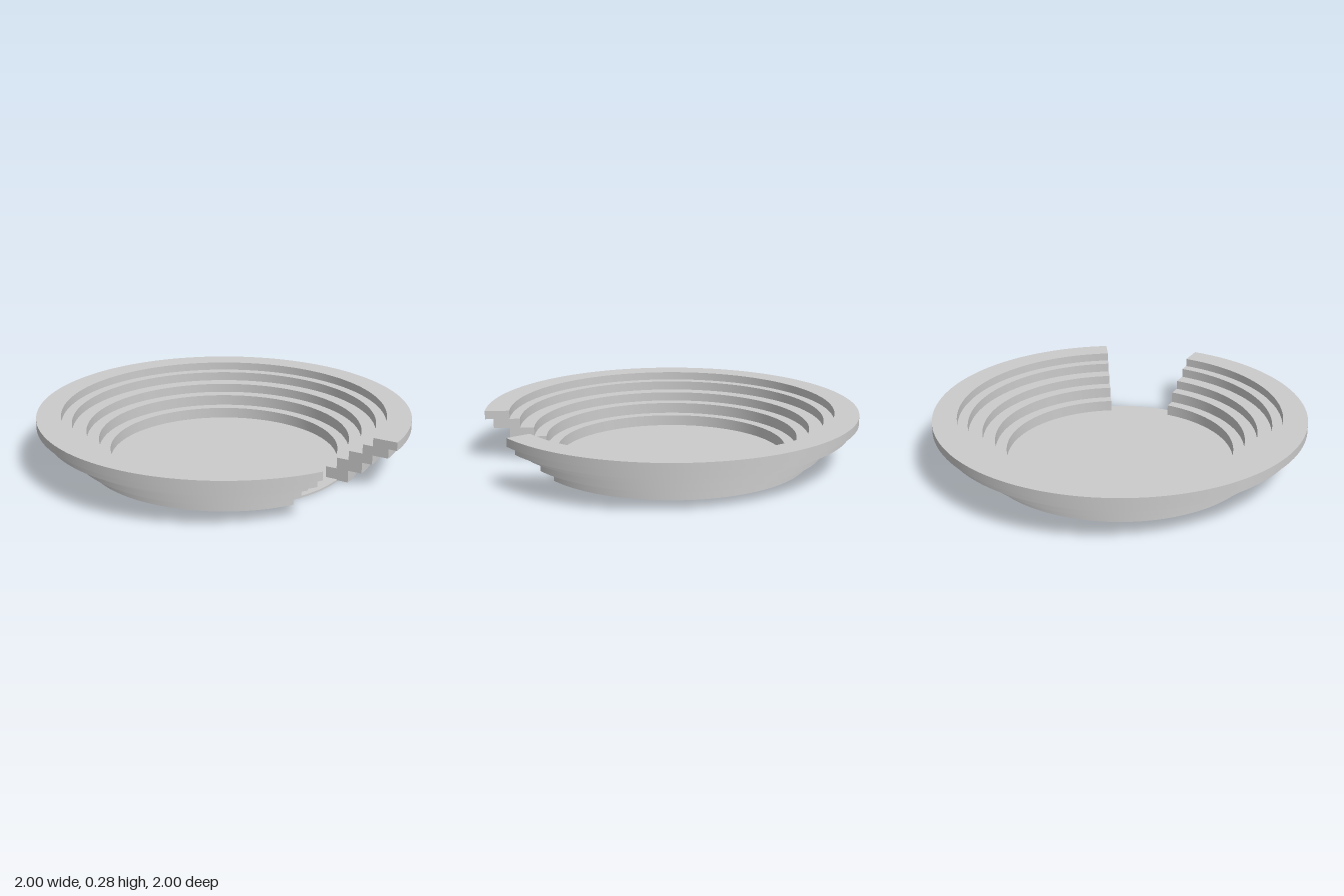
import * as THREE from 'three';
import { toCreasedNormals } from 'three/addons/utils/BufferGeometryUtils.js';

const material = new THREE.MeshStandardMaterial({ color: 0xcccccc });

// The entrance gap, measured from +x towards +z
const GAP_START = THREE.MathUtils.degToRad(43.3);
const GAP_END = THREE.MathUtils.degToRad(75.3);

// Ring with the entrance cut out, between two heights
function tierGeometry(inner, outer, bottom, top) {
  const shape = new THREE.Shape();
  const end = GAP_START + Math.PI * 2;
  shape.absarc(0, 0, outer, GAP_END, end, false);
  shape.absarc(0, 0, inner, end, GAP_END, true);
  const geometry = new THREE.ExtrudeGeometry(shape, {
    depth: top - bottom, bevelEnabled: false, curveSegments: 64,
  });
  geometry.rotateX(Math.PI / 2); // extrusion now runs downwards
  geometry.translate(0, top, 0);
  return toCreasedNormals(geometry, 0.5);
}

export function createModel() {
  const group = new THREE.Group();
  group.name = 'steppedArena';

  // Flat round floor
  const floor = new THREE.Mesh(new THREE.CylinderGeometry(0.68, 0.68, 0.01, 96), material);
  floor.position.y = 0.005;
  floor.name = 'floor';
  group.add(floor);

  // Stepped tiers, lowest first: inner radius, outer radius, bottom, top
  const tiers = [
    [0.615, 0.74, 0.005, 0.07],
    [0.675, 0.815, 0.07, 0.13],
    [0.74, 0.87, 0.13, 0.18],
    [0.815, 0.955, 0.18, 0.23],
    [0.87, 1.0, 0.23, 0.275],
  ];
  tiers.forEach((tier, i) => {
    const mesh = new THREE.Mesh(tierGeometry(...tier), material);
    mesh.name = `tier${i + 1}`;
    group.add(mesh);
  });

  return group;
}
